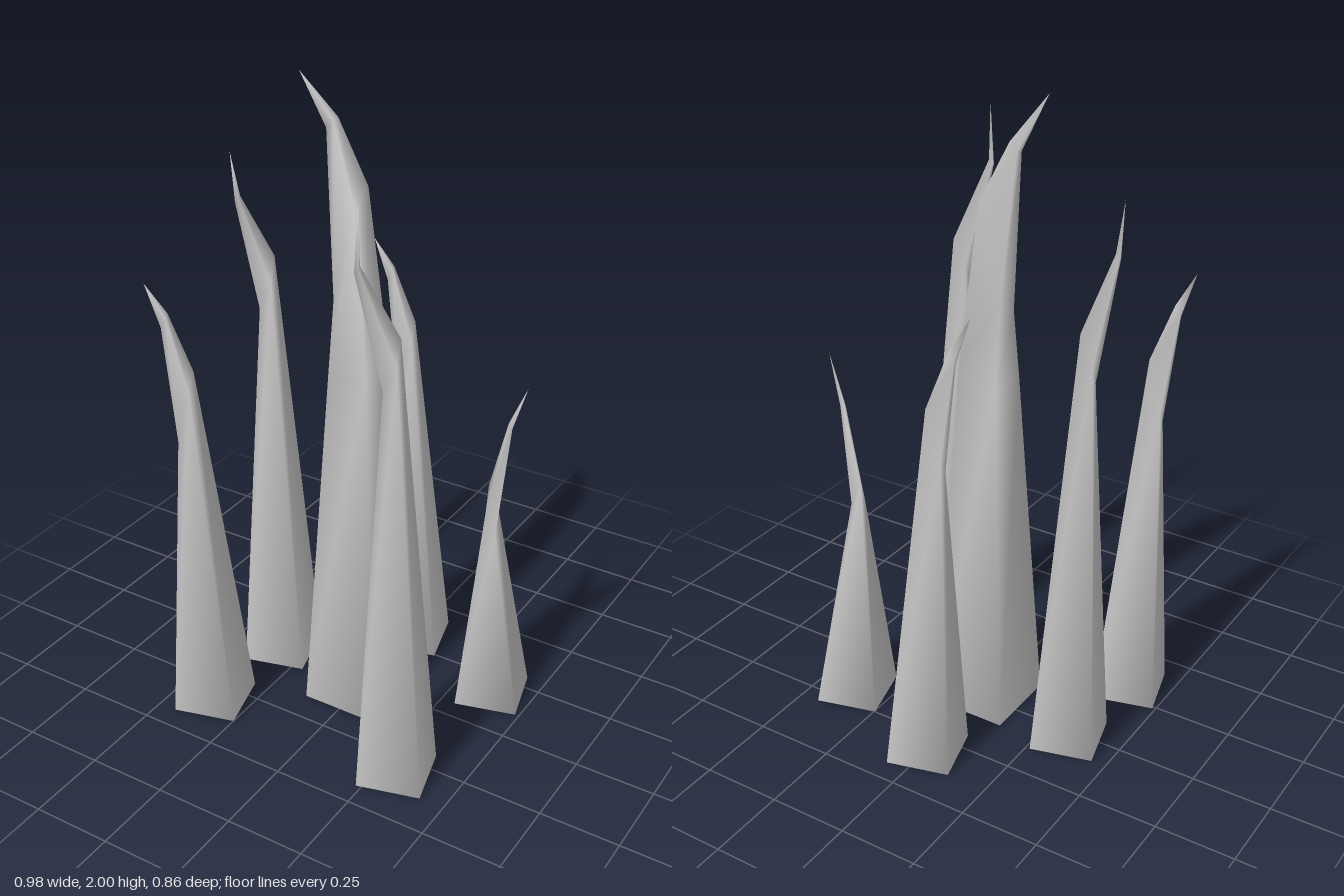
import * as THREE from 'three';

// Four-sided spike lofted through rings, closed by a tip and a base.
// Ring: [x, y, z, halfSize, slope]; slope lowers the side facing the lean.
function spikeGeometry(rings, tip, turn, lean) {
  const pos = [], index = [];
  const c = Math.cos(turn), s = Math.sin(turn);
  for (const [x, y, z, half, slope = 0] of rings) {
    for (const [a, b] of [[1, 1], [1, -1], [-1, -1], [-1, 1]]) {
      const dx = half * (a * c + b * s), dz = half * (b * c - a * s);
      pos.push(x + dx, y - slope * (dx * lean[0] + dz * lean[1]), z + dz);
    }
  }
  pos.push(...tip);
  const last = rings.length - 1, apex = rings.length * 4;
  for (let i = 0; i < 4; i++) {
    const j = (i + 1) % 4;
    for (let r = 0; r < last; r++) {
      const a = r * 4 + i, b = r * 4 + j;
      index.push(a, b, b + 4, a, b + 4, a + 4);
    }
    index.push(last * 4 + i, last * 4 + j, apex);
  }
  index.push(0, 2, 1, 0, 3, 2);
  const g = new THREE.BufferGeometry();
  g.setAttribute('position', new THREE.Float32BufferAttribute(pos, 3));
  g.setIndex(index);
  g.computeVertexNormals(); // soft shading across the edges
  return g;
}

export function createModel() {
  const group = new THREE.Group();
  const material = new THREE.MeshStandardMaterial({ color: 0xcccccc });
  const turn = THREE.MathUtils.degToRad(15);

  const add = (name, rings, tip, angle, lean, x = 0, z = 0) => {
    const mesh = new THREE.Mesh(spikeGeometry(rings, tip, angle, lean), material);
    mesh.name = name;
    mesh.position.set(x, 0, z);
    group.add(mesh);
  };

  // Tall central spike
  add('centralSpike', [
    [0, 0, 0.03, 0.125],
    [-0.002, 1.15, 0.032, 0.064, 0.3],
    [-0.043, 1.52, 0.006, 0.036, 4],
    [-0.113, 1.855, -0.013, 0.012, 1],
  ], [-0.19, 2, 0.03], 0, [-1, 0.15]);

  // Two matching medium spikes
  for (const [name, x, z] of [['backSpike', 0, -0.313], ['frontRightSpike', -0.37, 0.31]]) {
    add(name, [
      [0, 0, 0, 0.098],
      [-0.022, 1.06, 0.035, 0.021, 4.2],
      [-0.074, 1.325, 0.044, 0.008, 2],
    ], [-0.114, 1.44, 0.074], turn, [-0.85, 0.5], x, z);
  }

  // Tall front left spike
  add('frontLeftSpike', [
    [0, 0, 0, 0.098],
    [-0.03, 1.35, -0.003, 0.019, 2.7],
    [-0.079, 1.645, 0.09, 0.006, 1],
  ], [-0.072, 1.83, 0.095], turn, [-0.6, 0.8], 0.302, 0.31);

  // Side spike leaning forward
  add('rightSpike', [
    [0, 0, 0, 0.098],
    [-0.037, 1.31, -0.022, 0.019, 3],
    [-0.077, 1.59, 0.055, 0.006, 1],
  ], [-0.077, 1.74, 0.083], turn, [-0.6, 0.8], -0.333, -0.023);

  // Short spike leaning outward
  add('leftSpike', [
    [0, 0, 0, 0.098],
    [-0.013, 0.69, 0.027, 0.016, 3.5],
    [0.041, 1.0, 0.041, 0.006, 1],
  ], [0.103, 1.15, 0.065], turn, [0.85, 0.5], 0.367, -0.18);

  return group;
}
